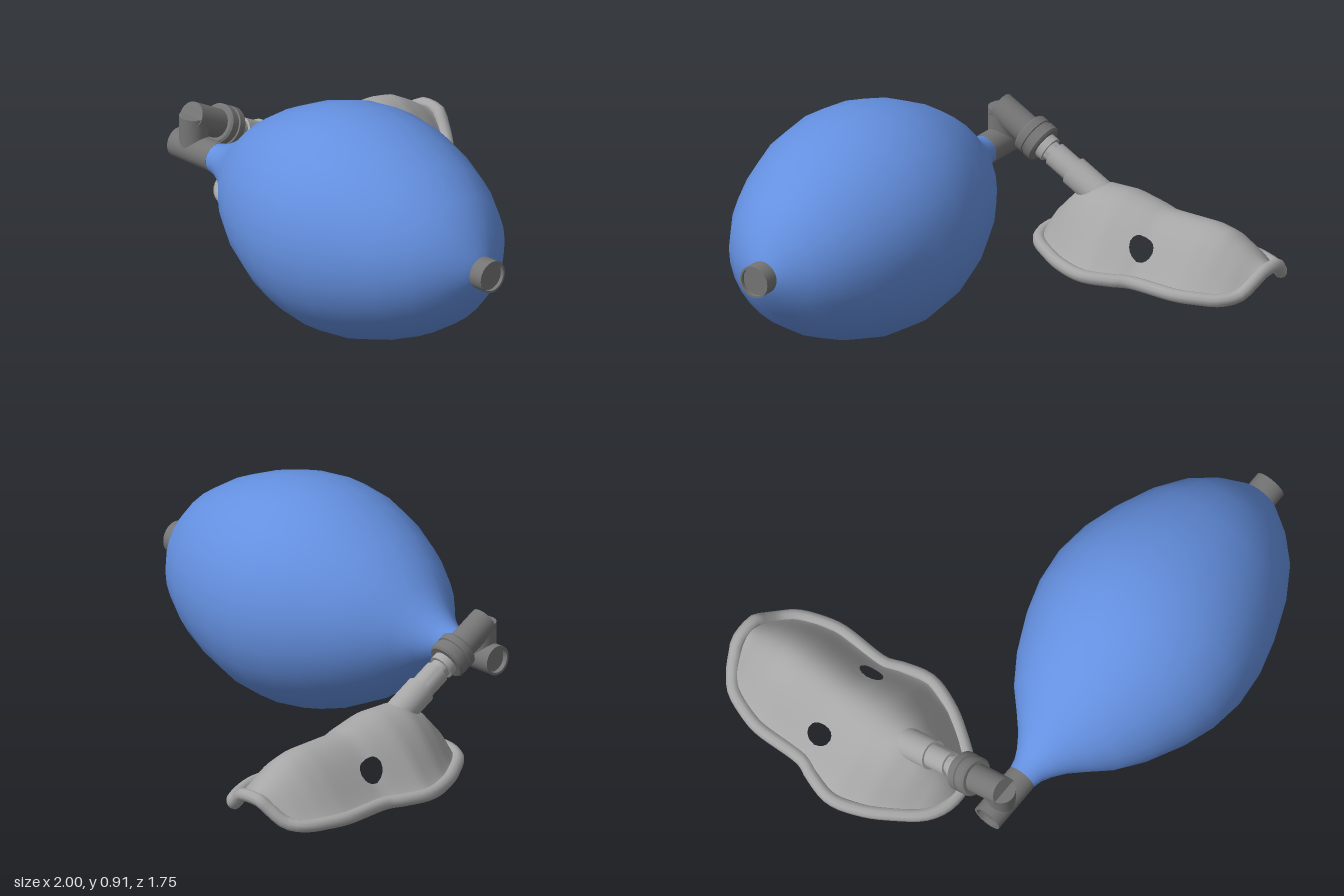
import * as THREE from 'three';
import { toCreasedNormals } from 'three/addons/utils/BufferGeometryUtils.js';

const bagBlue = new THREE.MeshStandardMaterial({ name: 'bagBlue', color: 0x6490e0 });
const maskGrey = new THREE.MeshStandardMaterial({ name: 'maskGrey', color: 0xa6a6a6, side: THREE.DoubleSide });
const fittingGrey = new THREE.MeshStandardMaterial({ name: 'fittingGrey', color: 0x757575 });

const MASK_X = -0.668, BAG_Y = 0.465, BAG_Z = 0.415;

// Turned part: profile is a list of [radius, distance along axis]
function turned(name, profile, material, segments = 28) {
  const points = profile.map(([r, s]) => new THREE.Vector2(r, s));
  const geometry = toCreasedNormals(new THREE.LatheGeometry(points, segments), 0.6);
  const mesh = new THREE.Mesh(geometry, material);
  mesh.name = name;
  return mesh;
}

// Mask sections from the nose end to the chin end: [z, half width, rim height, ridge height]
const sections = [
  [-0.845, 0.05, 0.24, 0.25], [-0.83, 0.085, 0.21, 0.25], [-0.8, 0.14, 0.165, 0.265],
  [-0.75, 0.195, 0.152, 0.3], [-0.66, 0.235, 0.152, 0.35], [-0.58, 0.255, 0.152, 0.365],
  [-0.36, 0.255, 0.152, 0.365], [-0.3, 0.28, 0.152, 0.38], [-0.18, 0.31, 0.152, 0.402],
  [-0.05, 0.27, 0.152, 0.402], [0.05, 0.21, 0.152, 0.35], [0.15, 0.13, 0.152, 0.24],
  [0.19, 0.05, 0.152, 0.165],
];

function sectionAt(z) {
  let i = 0;
  while (i < sections.length - 2 && z > sections[i + 1][0]) i++;
  const a = sections[i], b = sections[i + 1];
  const t = THREE.MathUtils.clamp((z - a[0]) / (b[0] - a[0]), 0, 1);
  return a.map((v, k) => THREE.MathUtils.lerp(v, b[k], t));
}

// Domed shell on a grid, with an oval hole opened around one grid point on each side
function maskShell() {
  const nx = 32, nz = 40, z0 = -0.845, z1 = 0.19;
  const holes = [6, 26].map((i) => ({ i, j: 19 }));
  const plan = (i, j) => {
    const z = z0 + (z1 - z0) * j / nz;
    return [(i / nx * 2 - 1) * sectionAt(z)[1], z];
  };
  const positions = [], indices = [];
  for (let j = 0; j <= nz; j++) {
    for (let i = 0; i <= nx; i++) {
      let [x, z] = plan(i, j);
      for (const hole of holes) {
        const di = i - hole.i, dj = j - hole.j;
        if (Math.max(Math.abs(di), Math.abs(dj)) !== 2) continue;
        const [cx, cz] = plan(hole.i, hole.j), angle = Math.atan2(dj, di);
        x = cx + 0.033 * Math.cos(angle);
        z = cz + 0.053 * Math.sin(angle);
      }
      const [, w, base, ridge] = sectionAt(z);
      const u = Math.min(1, Math.abs(x) / w);
      positions.push(x, base + (ridge - base) * Math.pow(1 - u * u, 1.5), z);
    }
  }
  const inHole = (i, j) => holes.some((h) => Math.abs(i + 0.5 - h.i) < 2 && Math.abs(j + 0.5 - h.j) < 2);
  for (let j = 0; j < nz; j++) {
    for (let i = 0; i < nx; i++) {
      if (inHole(i, j)) continue;
      const a = j * (nx + 1) + i, b = a + 1, c = a + nx + 1, d = c + 1;
      indices.push(a, c, b, b, c, d);
    }
  }
  const geometry = new THREE.BufferGeometry();
  geometry.setAttribute('position', new THREE.Float32BufferAttribute(positions, 3));
  geometry.setIndex(indices);
  geometry.computeVertexNormals();
  return geometry;
}

function createMask() {
  const mask = new THREE.Group();
  mask.name = 'faceMask';
  const shell = new THREE.Mesh(maskShell(), maskGrey);
  shell.name = 'maskShell';

  // Rolled rim along both sides of the shell
  const side = (sign) => sections.map(([z, w, y]) => new THREE.Vector3(sign * w, y, z));
  const path = new THREE.CatmullRomCurve3([...side(1), ...side(-1).reverse()], true);
  const rim = new THREE.Mesh(new THREE.TubeGeometry(path, 90, 0.026, 10, true), maskGrey);
  rim.name = 'maskRim';
  mask.add(shell, rim);
  mask.position.x = MASK_X;
  return mask;
}

// Sloping neck from the mask up to the elbow
function createNeck() {
  const neck = new THREE.Group();
  neck.name = 'neck';
  neck.add(
    turned('maskPort', [[0, -0.045], [0.06, -0.045], [0.06, 0.125], [0.05, 0.125], [0.05, 0.225],
      [0.04, 0.225], [0.04, 0.25], [0.052, 0.25], [0.052, 0.3], [0, 0.3]], maskGrey),
    turned('swivelRing', [[0, 0.28], [0.072, 0.28], [0.08, 0.288], [0.08, 0.318], [0.074, 0.32], [0.074, 0.33],
      [0.08, 0.332], [0.08, 0.36], [0.072, 0.368], [0, 0.368]], fittingGrey),
    turned('elbowUpper', [[0, 0.36], [0.058, 0.36], [0.058, 0.52], [0, 0.52]], fittingGrey),
  );
  neck.position.set(MASK_X, 0.36, -0.03);
  neck.rotation.x = THREE.MathUtils.degToRad(62);
  return neck;
}

export function createModel() {
  const model = new THREE.Group();
  model.name = 'bagValveMask';

  // Squeeze bag with its end fittings, turned about the x axis
  const bagAssembly = new THREE.Group();
  bagAssembly.name = 'bagAssembly';
  bagAssembly.add(
    turned('squeezeBag', [[0.058, -0.545], [0.068, -0.5], [0.088, -0.46], [0.125, -0.405], [0.185, -0.34],
      [0.258, -0.265], [0.335, -0.15], [0.402, -0.01], [0.44, 0.11], [0.457, 0.25], [0.442, 0.395],
      [0.402, 0.53], [0.345, 0.665], [0.265, 0.79], [0.18, 0.87], [0.085, 0.93], [0.06, 0.94]], bagBlue),
    turned('inletCap', [[0, 0.925], [0.065, 0.925], [0.065, 1], [0.057, 1], [0.057, 0.985], [0, 0.985]], fittingGrey),
    turned('outletTube', [[0, -0.735], [0.05, -0.735], [0.05, -0.755], [0.06, -0.755], [0.06, -0.54], [0, -0.54]], fittingGrey),
  );
  bagAssembly.position.set(0, BAG_Y, BAG_Z);
  bagAssembly.rotation.z = -Math.PI / 2;

  // Short leg joining the outlet tube to the sloping neck
  const leg = turned('elbowLeg', [[0, 0], [0.057, 0], [0.057, 0.14], [0, 0.14]], fittingGrey);
  leg.position.set(MASK_X, BAG_Y, BAG_Z);

  model.add(bagAssembly, leg, createNeck(), createMask());
  // Rest the bag on the ground
  model.position.y = -(BAG_Y - 0.457);
  return model;
}
